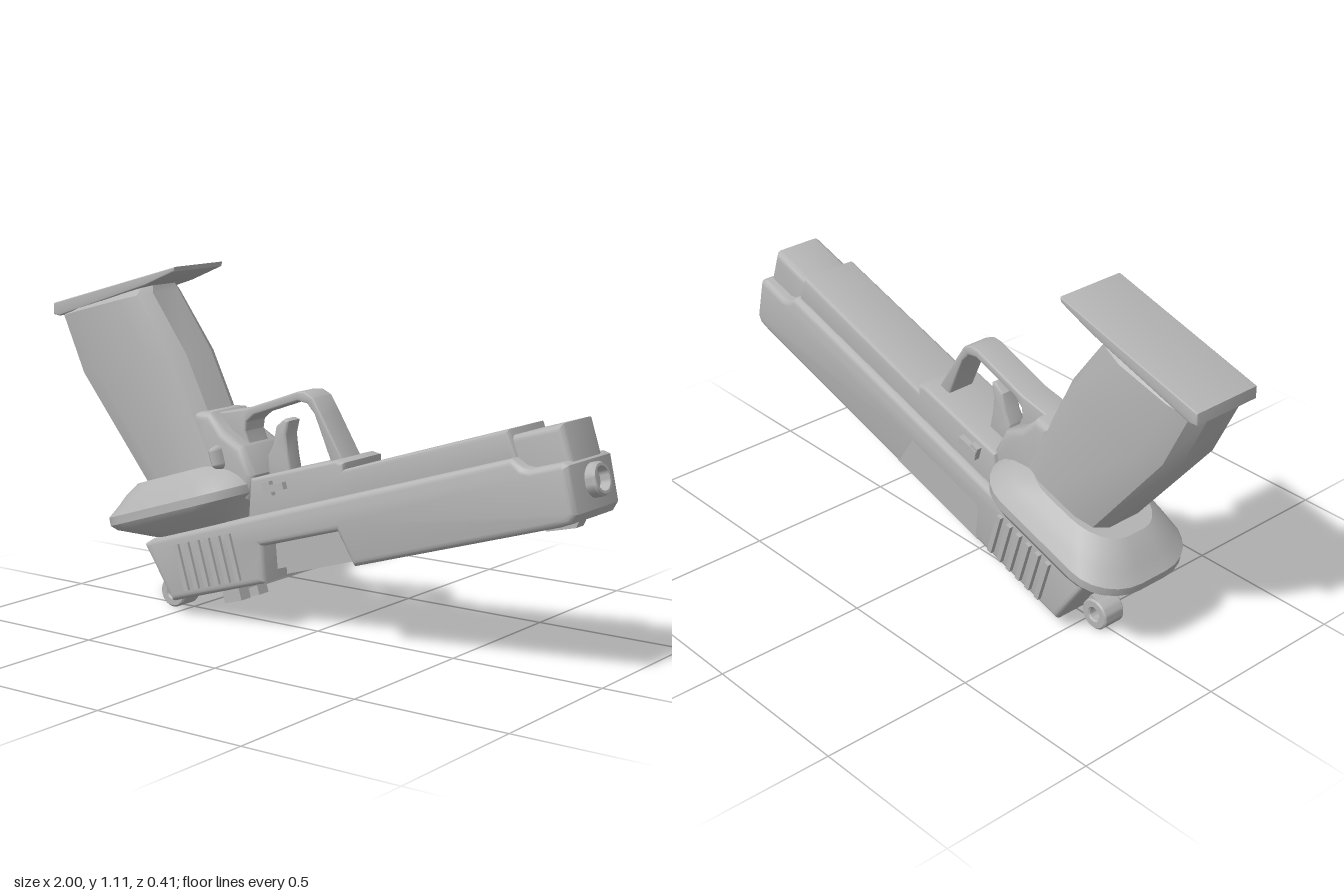
import * as THREE from 'three';
import { toCreasedNormals } from 'three/addons/utils/BufferGeometryUtils.js';

const TILT = 0.29; // slope of the long axis
const ZC = -0.006; // middle plane of the body

export function createModel() {
  const model = new THREE.Group();
  const grey = new THREE.MeshStandardMaterial({ color: 0xb4b4b4 });
  grey.name = 'grey metal';

  function add(name, geometry, x = 0, y = 0, z = 0, turn = 0) {
    const mesh = new THREE.Mesh(geometry, grey);
    mesh.name = name;
    mesh.position.set(x, y, z);
    mesh.rotation.z = turn;
    model.add(mesh);
    return mesh;
  }

  // Side profile extruded from z0 to z1 with rounded edges kept inside the outline
  function slab(name, points, z0, z1, bevel = 0) {
    const shape = new THREE.Shape(points.map(([x, y]) => new THREE.Vector2(x, y)));
    const geometry = new THREE.ExtrudeGeometry(shape, {
      depth: z1 - z0 - 2 * bevel, bevelEnabled: bevel > 0, bevelSize: bevel,
      bevelThickness: bevel, bevelOffset: -bevel, bevelSegments: 3,
    });
    return add(name, toCreasedNormals(geometry, 0.6), 0, 0, z0 + bevel);
  }

  // Rounded-rectangle sections, each [back, front, half width, corner x, corner z]
  function loft(name, sections, seg, crease) {
    const pos = [];
    const rings = sections.map(([back, front, b, rx, rz]) => {
      const a = Math.hypot(front[0] - back[0], front[1] - back[1]) / 2;
      const ring = [];
      for (let c = 0; c < 4; c++) {
        const sx = c === 0 || c === 3 ? 1 : -1, sz = c < 2 ? 1 : -1;
        for (let i = 0; i <= seg; i++) {
          const t = (c + i / seg) * Math.PI / 2;
          const p = (sx * (a - rx) + rx * Math.cos(t)) / a;
          const q = sz * (b - rz) + rz * Math.sin(t);
          ring.push([
            (back[0] + front[0]) / 2 + p * (front[0] - back[0]) / 2,
            (back[1] + front[1]) / 2 + p * (front[1] - back[1]) / 2,
            q + ZC,
          ]);
        }
      }
      ring.middle = [(back[0] + front[0]) / 2, (back[1] + front[1]) / 2, ZC];
      return ring;
    });
    const n = rings[0].length, last = rings[rings.length - 1];
    for (let k = 0; k < n; k++) {
      const m = (k + 1) % n;
      for (let i = 0; i < rings.length - 1; i++) {
        const lo = rings[i], hi = rings[i + 1];
        pos.push(...lo[k], ...hi[k], ...lo[m], ...lo[m], ...hi[k], ...hi[m]);
      }
      pos.push(...rings[0].middle, ...rings[0][k], ...rings[0][m]);
      pos.push(...last.middle, ...last[m], ...last[k]);
    }
    const geometry = new THREE.BufferGeometry();
    geometry.setAttribute('position', new THREE.Float32BufferAttribute(pos, 3));
    geometry.computeVertexNormals();
    return add(name, toCreasedNormals(geometry, crease));
  }

  // Long slide with a port cut on one side; the filler closes the other side
  slab('slide', [
    [-0.49, 0.045], [-0.115, 0.16], [-0.125, 0.275], [0.16, 0.36], [0.222, 0.262],
    [0.917, 0.473], [0.955, 0.488], [0.97, 0.515], [0.94, 0.65], [0.92, 0.657], [0.82, 0.627],
    [0.795, 0.63], [0.76, 0.65], [-0.575, 0.237], [-0.607, 0.217],
  ], -0.134, 0.126, 0.02);
  slab('portFiller', [
    [-0.14, 0.16], [0.24, 0.275], [0.24, 0.32], [0.17, 0.38], [-0.14, 0.29],
  ], -0.133, 0.005);
  slab('portFloor', [
    [-0.125, 0.19], [0.2, 0.29], [0.16, 0.37], [-0.125, 0.28],
  ], 0, 0.05);

  // Frame above the slide, and the nose block around the barrel
  slab('frame', [
    [-0.2, 0.34], [0.7, 0.6], [0.765, 0.64], [0.732, 0.725], [0.165, 0.545],
    [0.165, 0.565], [0.135, 0.57], [-0.19, 0.475],
  ], -0.108, 0.096, 0.012);
  slab('nose', [
    [0.73, 0.5], [0.965, 0.515], [0.935, 0.64], [0.897, 0.757], [0.73, 0.705],
  ], -0.096, 0.084, 0.02);
  const bore = [[0.05, 0], [0.05, 0.092], [0.044, 0.1], [0.036, 0.1], [0.034, 0.02], [0, 0.02]];
  const muzzle = new THREE.LatheGeometry(bore.map(([r, y]) => new THREE.Vector2(r, y)), 32);
  add('muzzle', toCreasedNormals(muzzle, 0.5), 0.887, 0.573, ZC, TILT - Math.PI / 2);

  // Grip, its end plate and the flared collar
  loft('grip', [
    [[-0.6, 0.37], [-0.27, 0.42], 0.118, 0.09, 0.06],
    [[-0.9, 0.74], [-0.475, 0.835], 0.126, 0.1, 0.065],
    [[-0.985, 0.92], [-0.61, 1.02], 0.122, 0.1, 0.06],
    [[-0.965, 0.95], [-0.62, 1.05], 0.09, 0.08, 0.04],
  ], 2, 0.35);
  slab('endPlate', [
    [-1, 0.928], [-0.975, 0.925], [-0.6, 1.047], [-0.48, 1.097], [-0.476, 1.112], [-1, 0.965],
  ], -0.13, 0.104, 0.004);
  const c = Math.cos(0.305), s = Math.sin(0.305);
  const at = (u, v) => [-0.473 + u * c - v * s, 0.356 + u * s + v * c];
  const collar = [ // height, back, front, half width
    [-0.085, -0.16, 0.24, 0.13], [-0.03, -0.285, 0.27, 0.195], [-0.012, -0.302, 0.29, 0.205],
    [0.015, -0.3, 0.297, 0.205], [0.045, -0.26, 0.28, 0.185], [0.07, -0.235, 0.25, 0.165],
    [0.1, -0.19, 0.19, 0.135],
  ];
  loft('collar', collar.map(([v, back, front, w]) =>
    [at(back, v), at(front, v), w, 0.14, w * 0.75]), 6, 0.45);

  // Bridge from grip to frame, with the loop guard and curved lever
  slab('bridge', [
    [-0.4, 0.4], [-0.2, 0.4], [-0.18, 0.485], [-0.225, 0.57], [-0.3, 0.61], [-0.355, 0.665], [-0.42, 0.66],
  ], -0.108, 0.096, 0.025);
  slab('guard', [
    [-0.375, 0.655], [-0.25, 0.68], [-0.05, 0.752], [-0.02, 0.755], [0.012, 0.74], [0.045, 0.69],
    [0.125, 0.56], [0.08, 0.55], [0.018, 0.69], [-0.01, 0.72], [-0.045, 0.725],
    [-0.215, 0.665], [-0.245, 0.64], [-0.25, 0.61], [-0.2, 0.5], [-0.34, 0.55],
  ], -0.055, 0.043, 0.006);
  slab('trigger', [
    [-0.17, 0.46], [-0.175, 0.54], [-0.155, 0.575], [-0.143, 0.635], [-0.112, 0.66], [-0.094, 0.655],
    [-0.105, 0.61], [-0.097, 0.55], [-0.085, 0.49],
  ], -0.038, 0.026, 0.008);

  // Side controls
  const button = new THREE.CapsuleGeometry(0.018, 0.04, 4, 12);
  add('releaseButton', button, -0.31, 0.53, 0.09, TILT).scale.z = 2.6;
  for (const side of [-1, 1]) {
    add('catch', new THREE.BoxGeometry(0.08, 0.022, 0.03), -0.085, 0.462, ZC + side * 0.107, TILT);
    add('catchPivot', new THREE.BoxGeometry(0.03, 0.045, 0.03), -0.11, 0.455, ZC + side * 0.105, TILT);
    // Gripping ribs
    for (let i = 0; i < 6; i++) {
      add('rib', new THREE.BoxGeometry(0.018, 0.15, 0.03),
        -0.44 + i * 0.042, 0.165 + i * 0.0125, ZC + side * 0.127, TILT);
    }
    // Notched rear sight
    add('rearSight', new THREE.BoxGeometry(0.07, 0.06, 0.047), -0.285, 0.095, 0.006 + side * 0.045, TILT);
  }
  add('rearSightBase', new THREE.BoxGeometry(0.07, 0.03, 0.05), -0.29, 0.11, 0.006, TILT);
  slab('frontSight', [[0.8, 0.46], [0.82, 0.432], [0.915, 0.455], [0.935, 0.5], [0.85, 0.5]], -0.022, 0.02);

  // Ring at the rear
  const ring = new THREE.Shape().absarc(0, 0, 0.05, 0, Math.PI * 2);
  ring.holes.push(new THREE.Path().absarc(0, 0, 0.02, 0, Math.PI * 2, true));
  const ringGeometry = new THREE.ExtrudeGeometry(ring, {
    depth: 0.07, bevelSize: 0.005, bevelThickness: 0.005, bevelOffset: -0.005, bevelSegments: 1, curveSegments: 20,
  });
  add('rearRing', toCreasedNormals(ringGeometry, 0.5), -0.553, 0.051, -0.03);
  slab('ringStem', [[-0.52, 0.06], [-0.47, 0.08], [-0.5, 0.13], [-0.56, 0.1]], -0.03, 0.045);

  return model;
}
